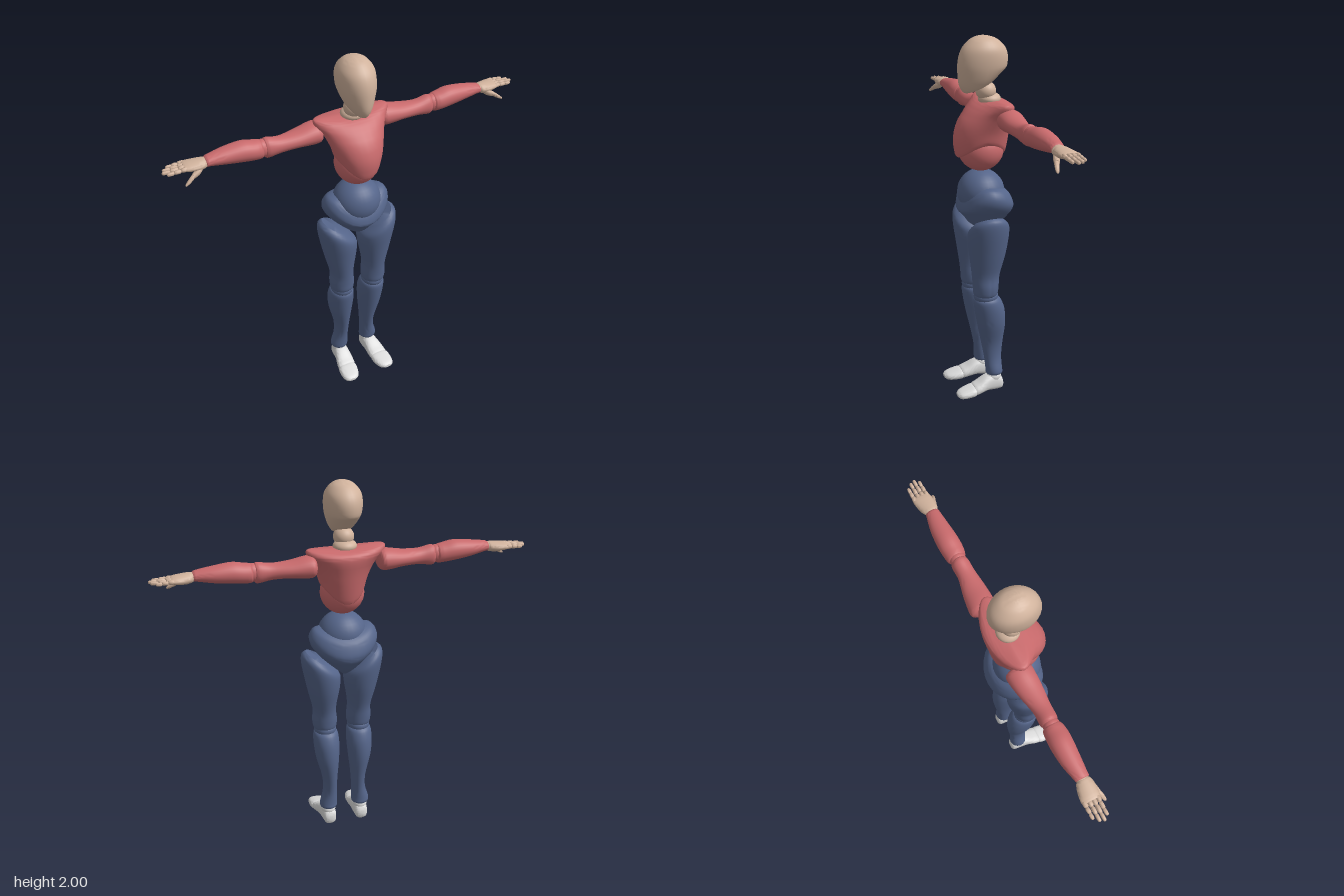
import * as THREE from 'three';
import { toCreasedNormals } from 'three/addons/utils/BufferGeometryUtils.js';

const clamp = THREE.MathUtils.clamp;
const mat = (name, color) => Object.assign(new THREE.MeshStandardMaterial({ color }), { name });

// Smooth closed body through sections [t, a0, a1, b0, b1], ascending along an axis.
// Axis y: a = x, b = z. Axis x: a = y, b = z. Axis z: a = x, b = y.
function loft(axis, sections, { side = 1, warp, square = 1, n = 28, steps = 4 } = {}) {
  const pos = [], idx = [], rows = [];
  const cr = (p, q, r, s, t) =>
    0.5 * (2 * q + (r - p) * t + (2 * p - 5 * q + 4 * r - s) * t * t + (3 * q - p - 3 * r + s) * t ** 3);
  const last = sections.length - 1;
  for (let i = 0; i < last; i++) {
    const [p, q, r, s] = [i - 1, i, i + 1, i + 2].map(k => sections[clamp(k, 0, last)]);
    for (let k = 0; k < steps; k++) rows.push(q.map((_, c) => cr(p[c], q[c], r[c], s[c], k / steps)));
  }
  rows.push(sections[last]);
  const put = (t, a, b) => {
    const v = axis === 'y' ? new THREE.Vector3(a, t, b)
      : axis === 'x' ? new THREE.Vector3(t, a, b) : new THREE.Vector3(a, b, t);
    if (warp) warp(v);
    pos.push(v.x * side, v.y, v.z);
  };
  const bend = c => Math.sign(c) * Math.abs(c) ** square;
  for (const [t, a0, a1, b0, b1] of rows) {
    for (let j = 0; j < n; j++) {
      const w = (j / n) * Math.PI * 2;
      put(t, (a0 + a1) / 2 + (a1 - a0) / 2 * bend(Math.cos(w)), (b0 + b1) / 2 + (b1 - b0) / 2 * bend(Math.sin(w)));
    }
  }
  const flip = (axis !== 'y') !== (side < 0);
  const tri = (a, b, c) => (flip ? idx.push(a, c, b) : idx.push(a, b, c));
  for (let i = 0; i < rows.length - 1; i++) {
    for (let j = 0; j < n; j++) {
      const a = i * n + j, b = i * n + (j + 1) % n;
      tri(a, a + n, b + n);
      tri(a, b + n, b);
    }
  }
  // End caps
  const m = rows.length * n;
  for (const r of [rows[0], rows[rows.length - 1]]) put(r[0], (r[1] + r[2]) / 2, (r[3] + r[4]) / 2);
  for (let j = 0; j < n; j++) {
    const k = (j + 1) % n;
    tri(m, j, k);
    tri(m + 1, m - n + k, m - n + j);
  }
  const g = new THREE.BufferGeometry();
  g.setAttribute('position', new THREE.Float32BufferAttribute(pos, 3));
  g.setIndex(idx);
  return toCreasedNormals(g, 0.8);
}

export function createModel() {
  const model = new THREE.Group();
  model.name = 'mannequin';
  const skin = mat('skin', 0xd0b29c), shirt = mat('shirt', 0xc96a6c);
  const trousers = mat('trousers', 0x55658a), shoe = mat('shoe', 0xdcdcdc);
  const add = (name, geometry, material) => {
    const mesh = new THREE.Mesh(geometry, material);
    mesh.name = name;
    model.add(mesh);
    return mesh;
  };
  const ball = (name, material, p, r) => {
    const mesh = add(name, new THREE.SphereGeometry(1, 28, 18), material);
    mesh.position.set(...p);
    mesh.scale.set(...r);
  };

  // Head and neck
  add('head', loft('y', [
    [1.735, -0.03, 0.03, -0.04, 0.055], [1.745, -0.052, 0.052, -0.08, 0.085],
    [1.78, -0.075, 0.075, -0.115, 0.115], [1.83, -0.091, 0.091, -0.14, 0.122],
    [1.89, -0.097, 0.097, -0.147, 0.116], [1.94, -0.09, 0.09, -0.13, 0.095],
    [1.98, -0.06, 0.06, -0.088, 0.055], [1.996, -0.028, 0.028, -0.045, 0.02],
    [2, -0.006, 0.006, -0.02, 0]], {
    warp: v => {
      const k = clamp((1.84 - v.y) / 0.09, 0, 1);
      v.x *= 1 - k * clamp(v.z, 0, 0.1) * 2.5;
      v.y -= k * 0.42 * v.z;
    },
  }), skin);
  ball('neck', skin, [0, 1.715, -0.03], [0.054, 0.05, 0.054]);
  ball('neckBase', skin, [0, 1.672, -0.05], [0.062, 0.035, 0.06]);

  // Torso: the chest dips to a point at front and back over a round waist
  add('chest', loft('y', [
    [1.44, -0.1, 0.1, -0.115, 0.12], [1.46, -0.117, 0.117, -0.133, 0.137],
    [1.52, -0.136, 0.136, -0.15, 0.143], [1.6, -0.172, 0.172, -0.165, 0.08],
    [1.64, -0.203, 0.203, -0.162, 0.035], [1.67, -0.208, 0.208, -0.14, 0.005],
    [1.682, -0.18, 0.18, -0.115, -0.02]], {
    warp: v => {
      const k = clamp((1.56 - v.y) / 0.1, 0, 1);
      const up = clamp((v.y - 1.64) / 0.04, 0, 1);
      v.y -= k * 0.075 * clamp((v.z / 0.13) ** 2, 0, 1) + up * 0.018 * (1 - (v.x / 0.21) ** 2);
    },
  }), shirt);
  ball('waist', shirt, [0, 1.405, -0.003], [0.117, 0.115, 0.122]);
  ball('abdomen', trousers, [0, 1.17, -0.003], [0.132, 0.125, 0.127]);
  add('pelvis', loft('y', [
    [0.955, -0.02, 0.02, -0.07, 0], [1, -0.07, 0.07, -0.125, 0.065],
    [1.06, -0.13, 0.13, -0.165, 0.105], [1.12, -0.175, 0.175, -0.176, 0.125],
    [1.17, -0.185, 0.185, -0.168, 0.126], [1.21, -0.163, 0.163, -0.15, 0.118],
    [1.22, -0.13, 0.13, -0.125, 0.1]], {
    warp: v => {
      const k = clamp((v.y - 1.04) / 0.18, 0, 1);
      v.y -= k * (v.z > 0 ? 0.1 * (v.z / 0.12) ** 2 : 0.06 * (v.z / 0.16) ** 2);
    },
  }), trousers);

  for (const side of [1, -1]) {
    const pre = side > 0 ? 'left' : 'right';
    const part = (name, material, axis, sections, opts = {}) =>
      add(pre + name, loft(axis, sections, { side, ...opts }), material);

    // Arm
    part('UpperArm', shirt, 'x', [
      [0.165, 1.56, 1.63, -0.13, -0.04], [0.18, 1.54, 1.648, -0.155, -0.02],
      [0.22, 1.537, 1.648, -0.155, -0.017], [0.3, 1.545, 1.632, -0.142, -0.02],
      [0.39, 1.543, 1.627, -0.122, -0.028], [0.455, 1.532, 1.64, -0.122, -0.03],
      [0.475, 1.537, 1.635, -0.115, -0.037], [0.482, 1.56, 1.62, -0.1, -0.05]]);
    ball(pre + 'Elbow', shirt, [side * 0.487, 1.59, -0.076], [0.04, 0.047, 0.042]);
    part('Forearm', shirt, 'x', [
      [0.487, 1.555, 1.62, -0.11, -0.045], [0.495, 1.54, 1.637, -0.125, -0.03],
      [0.53, 1.541, 1.644, -0.132, -0.022], [0.59, 1.547, 1.654, -0.136, -0.022],
      [0.68, 1.56, 1.645, -0.13, -0.03], [0.76, 1.575, 1.632, -0.113, -0.038],
      [0.778, 1.577, 1.626, -0.108, -0.04], [0.785, 1.587, 1.617, -0.09, -0.055]]);

    // Hand
    ball(pre + 'Wrist', skin, [side * 0.785, 1.6, -0.075], [0.028, 0.023, 0.032]);
    part('Palm', skin, 'x', [
      [0.775, 1.585, 1.615, -0.09, -0.06], [0.785, 1.574, 1.623, -0.11, -0.04],
      [0.82, 1.57, 1.622, -0.125, -0.032], [0.87, 1.578, 1.617, -0.134, -0.036],
      [0.888, 1.585, 1.612, -0.13, -0.042]], { n: 18 });
    [[0.975, -0.054], [0.993, -0.076], [0.985, -0.098], [0.962, -0.121]].forEach(([tip, z], f) => {
      const step = (tip - 0.873) / 3;
      for (let k = 0; k < 3; k++) {
        const x = 0.873 + k * step, r = 0.0115 - k * 0.0013, y = 1.599 - k * 0.002;
        const ring = (t, s) => [t, y - r * s, y + r * s, z - r * s, z + r * s];
        part('Finger' + (f + 1) + 'Joint' + (k + 1), skin, 'x',
          [ring(x, 0.5), ring(x + 0.005, 1), ring(x + step - 0.004, 0.95), ring(x + step + 0.002, 0.4)],
          { n: 10, steps: 2 });
      }
    });
    part('ThumbBase', skin, 'x', [
      [0.8, 1.575, 1.605, -0.075, -0.045], [0.825, 1.558, 1.597, -0.065, -0.028],
      [0.86, 1.55, 1.577, -0.047, -0.02]], { n: 12 });
    part('ThumbTip', skin, 'x', [
      [0.853, 1.556, 1.57, -0.043, -0.025], [0.862, 1.547, 1.574, -0.044, -0.018],
      [0.89, 1.533, 1.553, -0.032, -0.011], [0.905, 1.529, 1.539, -0.023, -0.012]], { n: 12 });

    // Leg: the top of the thigh slants up to the outside
    part('Thigh', trousers, 'y', [
      [0.6, 0.05, 0.15, -0.045, 0.055], [0.615, 0.033, 0.163, -0.06, 0.074],
      [0.66, 0.03, 0.168, -0.065, 0.078], [0.73, 0.036, 0.165, -0.072, 0.085],
      [0.85, 0.02, 0.196, -0.1, 0.1], [0.95, 0.012, 0.222, -0.113, 0.112],
      [1, 0.022, 0.224, -0.108, 0.108], [1.03, 0.065, 0.2, -0.08, 0.08]], {
      warp: v => { v.y += clamp((v.y - 0.8) / 0.22, 0, 1) * 0.6 * (v.x - 0.12); },
    });
    ball(pre + 'Knee', trousers, [side * 0.097, 0.597, 0.004], [0.062, 0.045, 0.068]);
    part('Shin', trousers, 'y', [
      [0.105, 0.06, 0.13, -0.085, -0.01], [0.115, 0.046, 0.143, -0.095, 0],
      [0.14, 0.045, 0.143, -0.093, 0.002], [0.21, 0.046, 0.124, -0.092, 0.008],
      [0.3, 0.042, 0.126, -0.1, 0.025], [0.42, 0.03, 0.156, -0.11, 0.05],
      [0.51, 0.024, 0.167, -0.102, 0.066], [0.57, 0.028, 0.165, -0.08, 0.072],
      [0.59, 0.04, 0.152, -0.06, 0.058]]);

    // Foot
    ball(pre + 'Ankle', shoe, [side * 0.095, 0.09, -0.045], [0.04, 0.035, 0.042]);
    part('Foot', shoe, 'z', [
      [-0.097, 0.075, 0.115, 0.02, 0.06], [-0.085, 0.06, 0.128, 0.008, 0.085],
      [-0.045, 0.054, 0.135, 0.006, 0.107], [0, 0.053, 0.142, 0.012, 0.1],
      [0.05, 0.052, 0.155, 0.008, 0.072], [0.08, 0.056, 0.157, 0.005, 0.058],
      [0.088, 0.07, 0.145, 0.015, 0.045]], { square: 0.75 });
    part('Toes', shoe, 'z', [
      [0.075, 0.07, 0.148, 0.01, 0.045], [0.085, 0.055, 0.162, 0.002, 0.055],
      [0.13, 0.06, 0.165, 0, 0.046], [0.165, 0.075, 0.157, 0.002, 0.036],
      [0.18, 0.095, 0.14, 0.01, 0.026]], { square: 0.75 });
  }
  return model;
}
